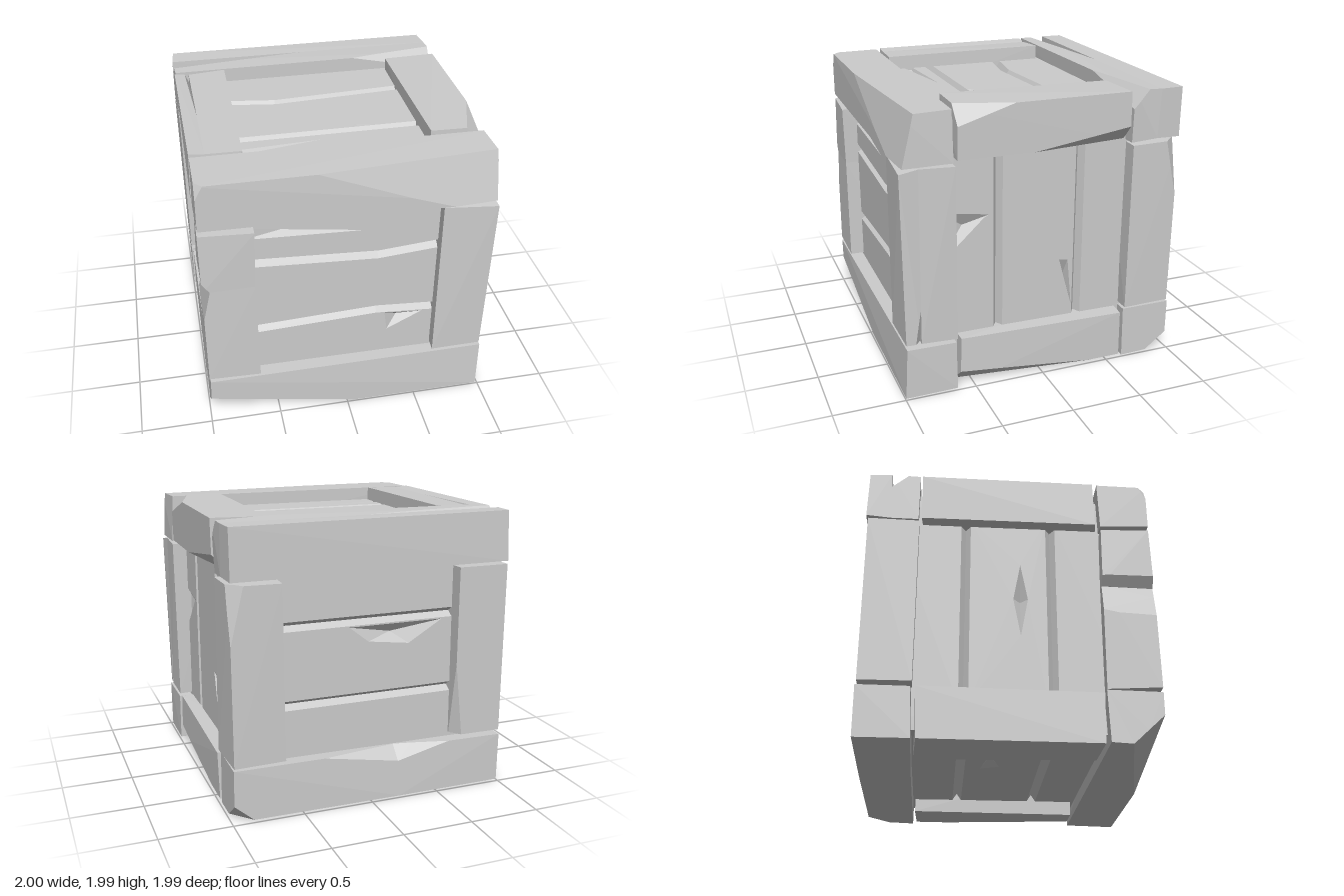
import * as THREE from 'three';
import { ConvexGeometry } from 'three/addons/geometries/ConvexGeometry.js';
import { mergeGeometries } from 'three/addons/utils/BufferGeometryUtils.js';

const wood = new THREE.MeshStandardMaterial({ color: 0xcccccc, side: THREE.DoubleSide });
const V = (a) => new THREE.Vector3(...a);

// Small repeatable wobble of a corner; equal corners move equally, so split beams stay joined
function wobble(p) {
  const h = (k) => {
    const s = Math.sin(p.x * 127.1 + p.y * 311.7 + p.z * 74.7 + k * 53.3) * 43758.5453;
    return (s - Math.floor(s) - 0.5) * 0.022;
  };
  return new THREE.Vector3(p.x + h(1), p.y + h(2), p.z + h(3));
}

// Box from min to max. A chip names a corner by its three signs, then how far
// the cut reaches from that corner along x, y and z
function chippedBox(min, max, ...chips) {
  const centre = V(min).add(V(max)).multiplyScalar(0.5);
  let pts = [];
  for (const x of [min[0], max[0]])
    for (const y of [min[1], max[1]])
      for (const z of [min[2], max[2]]) pts.push(wobble(V([x, y, z])));
  for (const [sx, sy, sz, ...reach] of chips) {
    const signs = [sx, sy, sz];
    const corner = signs.map((s, i) => (s > 0 ? max[i] : min[i]));
    const cut = reach.map((r, i) => V(corner.map((c, j) => (i === j ? c - signs[i] * r : c))));
    const plane = new THREE.Plane().setFromCoplanarPoints(...cut);
    if (plane.distanceToPoint(centre) > 0) plane.negate();
    const keep = pts.filter((p) => plane.distanceToPoint(p) <= 0);
    const gone = pts.filter((p) => plane.distanceToPoint(p) > 0);
    pts = [...keep];
    for (const a of keep)
      for (const b of gone) {
        const da = plane.distanceToPoint(a), db = plane.distanceToPoint(b);
        pts.push(a.clone().lerp(b, da / (da - db)));
      }
  }
  return new ConvexGeometry(pts);
}

function beam(name, ...pieces) {
  const mesh = new THREE.Mesh(mergeGeometries(pieces.map((p) => chippedBox(...p))), wood);
  mesh.name = name;
  return mesh;
}

// Recessed boards of one side: a flat face with V grooves and dents sunk into it.
// A groove is a line of [along, across] points; a dent is a rim that falls to its middle
function boards(name, [rx, ry], grooves, dents, vertical = false) {
  const R = 0.89, half = 0.033, depth = 0.05;
  const shape = new THREE.Shape();
  shape.moveTo(-R, -R).lineTo(R, -R).lineTo(R, R).lineTo(-R, R).closePath();
  const tri = [];
  const hole = (rim) => shape.holes.push(new THREE.Path(rim.map(([x, y]) => new THREE.Vector2(x, y))));
  for (const line of grooves) {
    const row = (side) => line.map(([s, c]) => {
      const across = c + side * half, d = side ? 0 : -depth;
      return vertical ? [across, s, d] : [s, across, d];
    });
    const low = row(0);
    hole([...row(1), ...row(-1).reverse()]);
    for (const edge of [row(1), row(-1)])
      for (let i = 0; i + 1 < line.length; i++)
        tri.push(...edge[i], ...edge[i + 1], ...low[i + 1], ...edge[i], ...low[i + 1], ...low[i]);
  }
  for (const rim of dents) {
    hole(rim);
    const mid = [0, 1].map((k) => rim.reduce((sum, p) => sum + p[k], 0) / rim.length);
    rim.forEach((p, i) => tri.push(...p, 0, ...rim[(i + 1) % rim.length], 0, ...mid, -depth));
  }
  const sunk = new THREE.BufferGeometry();
  sunk.setAttribute('position', new THREE.Float32BufferAttribute(tri, 3));
  sunk.computeVertexNormals();
  const face = new THREE.ShapeGeometry(shape).toNonIndexed();
  face.deleteAttribute('uv');
  const mesh = new THREE.Mesh(mergeGeometries([face, sunk]), wood);
  mesh.name = name;
  mesh.rotation.set(rx, ry, 0);
  mesh.position.set(0, 0, R).applyEuler(mesh.rotation).add(V([0, 1, 0]));
  return mesh;
}

const straight = (c) => [[-0.7, c], [0.7, c]];

export function createModel() {
  const crate = new THREE.Group();
  crate.name = 'crate';
  const O = 0.987, I = 0.63;             // outer and inner faces of the frame
  const T = 1.64, B = 0.375;             // underside of top beams, top of bottom beams
  const hi = 1.987, lo = 0.015;          // top and bottom
  const p0 = 0.4, p1 = 1.615, S = 0.605; // post ends, side beam half length
  const Q = Math.PI / 2;

  // Front and back beams; split pieces leave a crack or notch between them
  const crack = -0.82, nick = -0.2;
  crate.add(
    beam('frontTopBeam', [[-O, T, I], [O, hi, O],
      [1, 1, 1, 1.33, 0.41, 0.1], [-1, 1, 1, 0.07, 0.13, 0.07]]),
    beam('frontBottomBeam', [[-O, lo, I], [O, B, O], [-1, -1, 1, 0.98, 0.2, 0.21]]),
    beam('backTopBeam',
      [[-O, T, -O], [O, hi, crack]],
      [[-O, T, crack], [O, hi, -I], [-1, 1, -1, 0.89, 0.09, 0.1], [1, 1, 1, 0.57, 0.12, 0.1]]),
    beam('backBottomBeam',
      [[nick, lo, -O], [O, B, -I], [-1, 1, -1, 0.54, 0.1, 0.09], [1, -1, -1, 0.14, 0.12, 0.16]],
      [[-O, lo, -O], [nick, B, -I], [1, 1, -1, 0.41, 0.1, 0.09]]));

  // Side beams
  const split = -0.89;
  crate.add(
    beam('leftTopBeam', [[I, T, -S], [O, hi, S],
      [1, -1, -1, 0.09, 0.1, 0.7], [1, 1, 1, 0.11, 0.11, 0.35]]),
    beam('leftBottomBeam', [[I, lo, -S], [O, B, S], [1, -1, 1, 0.13, 0.12, 1.04]]),
    beam('rightTopBeam',
      [[-O, T, -S], [split, hi, S], [1, 1, -1, 0.03, 0.07, 0.6]],
      [[split, T, -S], [-I, hi, S]]),
    beam('rightBottomBeam', [[-O, lo, -S], [-I, B, S]]));

  // Corner posts
  const notch = 1.17, sliver = 0.87;
  crate.add(
    beam('frontRightPost',
      [[-O, notch, I], [-I, p1, O], [-1, -1, 1, 0.05, 0.07, 2]],
      [[-O, p0, I], [-I, notch, O], [-1, 1, 1, 0.05, 0.22, 2]]),
    beam('frontLeftPost',
      [[I, p0, I], [O, p1, sliver]],
      [[I, p0, sliver], [O, p1, O], [1, -1, -1, 0.05, 0.27, 0.045]]),
    beam('backLeftPost', [[I, p0, -O], [O, p1, -I], [1, 1, -1, 0.09, 0.41, 0.09]]),
    beam('backRightPost', [[-O, p0, -O], [-I, p1, -I], [1, -1, -1, 0.07, 0.55, 0.09]]));

  // Recessed boards on all six sides
  crate.add(boards('frontBoards', [0, 0],
    [[[-0.7, 0.295], [0.22, 0.245], [0.7, 0.285]], [[-0.7, -0.277], [0.22, -0.235], [0.7, -0.27]]],
    [[[-0.7, 0.58], [0.12, 0.46], [-0.7, 0.49]], [[0.28, -0.28], [0.55, -0.303], [0.3, -0.43]]]));
  crate.add(boards('leftBoards', [0, Q], [straight(-0.3), straight(0.293)],
    [[[-0.7, 0.27], [-0.36, 0.22], [-0.4, 0.2], [-0.7, -0.08]],
      [[0.155, -0.19], [0.22, -0.2], [0.255, -0.55]]], true));
  crate.add(boards('backBoards', [0, 2 * Q], [straight(0.293), straight(-0.25)],
    [[[-0.14, 0.25], [0.55, 0.25], [0.3, 0.1], [0, 0.14]]]));
  crate.add(boards('rightBoards', [0, -Q], [straight(-0.3), straight(0.293)],
    [[[0.08, 0.35], [0.03, 0.08], [0.08, -0.2], [0.13, 0.08]]], true));
  crate.add(boards('topBoards', [-Q, 0],
    [[[-0.7, 0.275], [-0.3, 0.215], [0.7, 0.283]], straight(-0.293)],
    [[[0.16, -0.255], [0.2, -0.22], [0.33, -0.255]], [[-0.7, -0.43], [-0.07, -0.39], [-0.7, -0.5]]]));
  crate.add(boards('bottomBoards', [Q, 0], [straight(0.293), straight(-0.293)],
    [[[-0.45, -0.1], [-0.2, -0.02], [-0.15, -0.15]]]));
  return crate;
}
